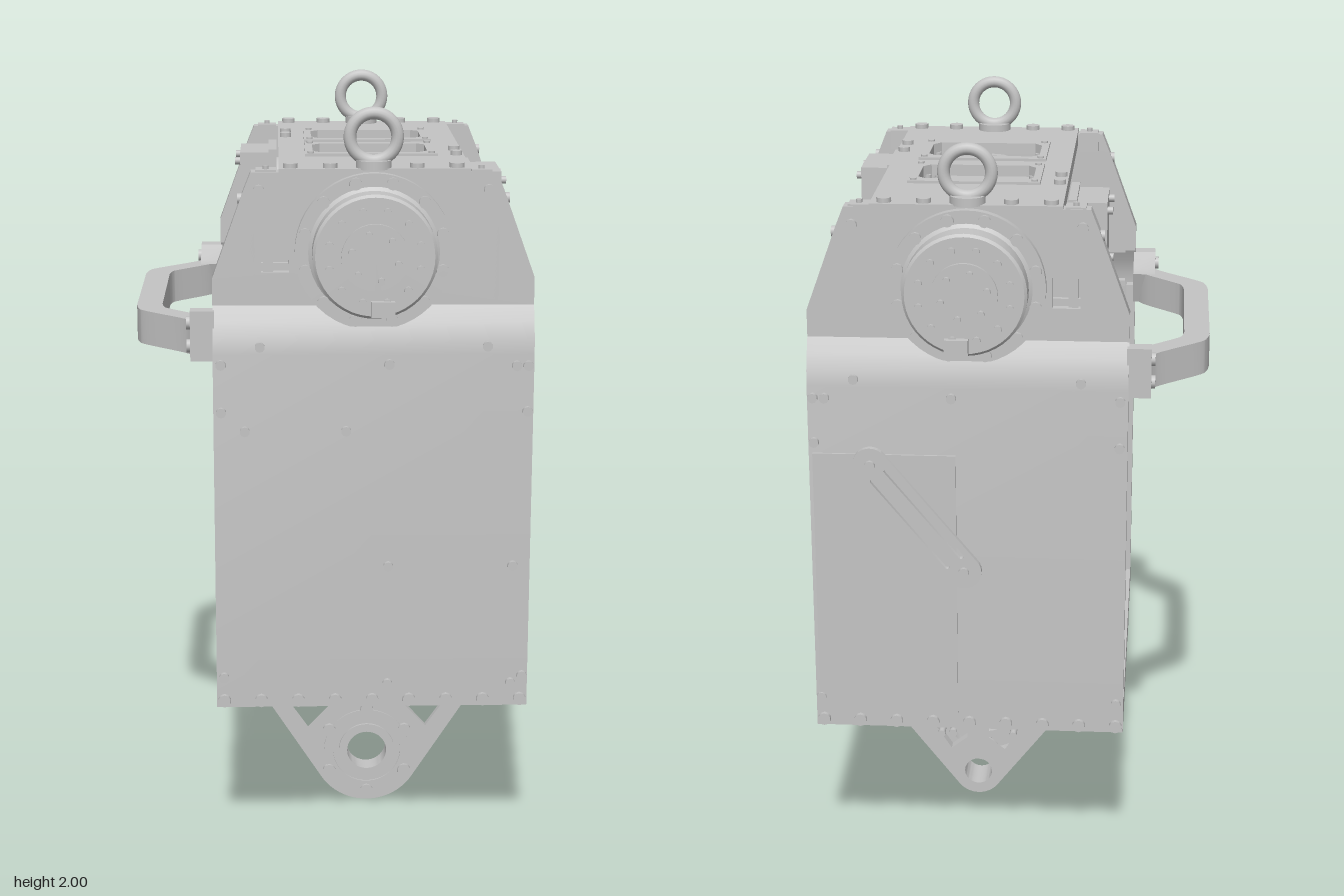
import * as THREE from 'three';
import { toCreasedNormals } from 'three/addons/utils/BufferGeometryUtils.js';

export function createModel() {
  const model = new THREE.Group();
  const grey = new THREE.MeshStandardMaterial({ color: 0xc4c4c4 });
  grey.name = 'grey metal';
  const CX = 0.1, HUB = 1.64;

  // ---- helpers ----
  const add = (name, geo) => {
    const m = new THREE.Mesh(geo, grey);
    m.name = name;
    model.add(m);
  };
  const box = (name, x0, x1, y0, y1, z0, z1) =>
    add(name, new THREE.BoxGeometry(x1 - x0, y1 - y0, z1 - z0).translate((x0 + x1) / 2, (y0 + y1) / 2, (z0 + z1) / 2));
  // cylinder from the given centre point along an axis, to a signed length
  const cyl = (name, axis, r, x, y, z, len, sides = 32) => {
    const g = new THREE.CylinderGeometry(r, r, Math.abs(len), sides).translate(0, len / 2, 0);
    if (axis === 'x') g.rotateZ(-Math.PI / 2);
    if (axis === 'z') g.rotateX(Math.PI / 2);
    add(name, g.translate(x, y, z));
  };
  const bolt = (axis, x, y, z, dir, r = 0.014) => cyl('bolt', axis, r, x, y, z, 0.014 * dir, 10);
  const poly = (pts) => new THREE.Shape(pts.map((p) => new THREE.Vector2(p[0], p[1])));
  const rect = (x0, x1, y0, y1) => poly([[x0, y0], [x1, y0], [x1, y1], [x0, y1]]);
  const disc = (x, y, r) => new THREE.Shape().absarc(x, y, r, 0, Math.PI * 2);
  const slot = (x0, y0, x1, y1, r) => {
    const a = Math.atan2(y1 - y0, x1 - x0), h = Math.PI / 2;
    return new THREE.Shape().absarc(x1, y1, r, a - h, a + h).absarc(x0, y0, r, a + h, a + 3 * h);
  };
  const solid = (shape, holes, depth) => {
    shape.holes = holes;
    return toCreasedNormals(new THREE.ExtrudeGeometry(shape, { depth, bevelEnabled: false, curveSegments: 20 }), 0.5);
  };
  const extZ = (name, shape, holes, z0, z1) => add(name, solid(shape, holes, z1 - z0).translate(0, 0, z0));
  // shape given as (x, -z)
  const extY = (name, shape, holes, y0, y1) =>
    add(name, solid(shape, holes, y1 - y0).rotateX(-Math.PI / 2).translate(0, y0, 0));
  // shape given as (-z, y)
  const extX = (name, shape, holes, x0, x1) =>
    add(name, solid(shape, holes, x1 - x0).rotateY(Math.PI / 2).translate(x0, 0, 0));
  const span = (s, a, b) => (s > 0 ? [a, b] : [-b, -a]);

  // ---- front and back end plates with everything mounted on them ----
  const upper = (i) => poly([[-0.31 + i, 1.5 - i * 0.01], [0.51 - i, 1.5 - i * 0.01], [0.51 - i, 1.57], [0.43 - i, 1.79],
    [0.41 - i, 1.84 - i], [-0.21 + i, 1.84 - i], [-0.23 + i, 1.79], [-0.31 + i, 1.57]]);
  for (const s of [1, -1]) {
    extX('endPlateLower', poly([[0.495, 0.43], [0.52, 0.43], [0.52, 1.38], [0.515, 1.42], [0.5, 1.46], [0.48, 1.5],
      [0.455, 1.5], [0.475, 1.46], [0.49, 1.42], [0.495, 1.38]].map(([z, y]) => [-z * s, y])), [], -0.31, 0.51);
    extZ('endPlateUpper', upper(0), [rect(-0.185, -0.115, 1.585, 1.665)], ...span(s, 0.455, 0.48));
    extZ('endPlateRim', upper(0), [upper(0.02)], ...span(s, 0.435, 0.456));
    // stiffening ribs inside
    for (const x of [-0.21, -0.06, 0.1, 0.26, 0.41]) box('innerRib', x - 0.008, x + 0.008, 1.22, x > 0.3 || x < -0.1 ? 1.7 : 1.5, ...span(s, 0.44, 0.48));
    for (const y of [1.28, 1.4, 1.5, 1.6, 1.7]) box('innerRib', y > 1.65 ? -0.24 : -0.28, y > 1.65 ? 0.44 : 0.48, y - 0.008, y + 0.008, ...span(s, 0.44, 0.47));
    for (const x of [-0.31, 0.485]) box('sideFlange', x, x + 0.025, 0.43, 1.39, ...span(s, 0.46, 0.5));
    box('windowPost', -0.18, -0.155, 1.58, 1.67, ...span(s, 0.42, 0.47));

    // rotary joint
    cyl('jointFlange', 'z', 0.2, CX, HUB, 0.478 * s, 0.026 * s, 48);
    add('jointBody', toCreasedNormals(new THREE.LatheGeometry([[0.185, 0], [0.185, 0.012], [0.157, 0.03], [0.157, 0.088], [0.15, 0.095], [0, 0.095]]
      .map(([r, y]) => new THREE.Vector2(r, y)), 48), 0.5).rotateX(s * Math.PI / 2).translate(CX, HUB, 0.48 * s));
    cyl('jointCap', 'z', 0.085, CX, HUB, 0.57 * s, 0.014 * s);
    cyl('jointMotor', 'z', 0.125, CX, HUB, 0.3 * s, 0.16 * s);
    cyl('jointMotorCollar', 'z', 0.14, CX, HUB, 0.41 * s, 0.05 * s);
    box('cableClip', 0.09, 0.15, 1.49, 1.53, ...span(s, 0.57, 0.595));
    for (let i = 0; i < 12; i++) {
      const a = (i + 0.5) * Math.PI / 6, c = Math.cos(a), d = Math.sin(a);
      bolt('z', CX + 0.18 * c, HUB + 0.18 * d, 0.5 * s, s, 0.016);
      bolt('z', CX + 0.118 * c, HUB + 0.118 * d, 0.57 * s, s, 0.01);
      if (i % 2) bolt('z', CX + 0.06 * c, HUB + 0.06 * d, 0.582 * s, s, 0.009);
    }

    // lifting eye
    add('liftingEye', new THREE.TorusGeometry(0.06, 0.016, 14, 40).translate(CX, 1.924, 0.45 * s));
    cyl('liftingEyeBase', 'y', 0.045, CX, 1.845, 0.45 * s, 0.022);

    // plate bolts
    const spots = [[-0.19, 1.4], [0.39, 1.4], [0.14, 1.355], [-0.29, 1.355], [0.465, 1.35], [0.495, 1.35], [0.495, 1.23], [-0.29, 1.23],
      [0.495, 0.51], [-0.29, 0.51]];
    if (s > 0) spots.push([-0.23, 1.18], [0.03, 1.18], [0.14, 0.815], [0.465, 0.815], [0.14, 0.49], [0.465, 0.49]);
    for (const [x, y] of spots) bolt('z', x, y, (y > 1.38 ? 0.512 : 0.518) * s, s, 0.013);
    for (let i = 0; i < 9; i++) bolt('z', -0.29 + i * 0.0975, 0.445, 0.518 * s, s, 0.017);
    for (const x of [-0.19, 0.39]) bolt('z', x, 1.795, 0.478 * s, s);
    for (const x of [-0.11, -0.01, 0.21, 0.31]) bolt('y', x, 1.846, 0.455 * s, 1, 0.019);
    for (const e of [-1, 1]) {
      const x = CX + 0.272 * e;
      box('cornerBlock', x - 0.026, x + 0.026, 1.79, 1.845, ...span(s, 0.425, 0.478));
      bolt('y', x, 1.84, 0.455 * s, 1, 0.008);
      bolt('x', CX + 0.33 * e, 1.77, 0.455 * s, e);
    }
  }

  // ---- access panel and slanted link on the back ----
  box('accessPanel', 0.13, 0.5, 0.47, 1.2, -0.526, -0.518);
  const groove = (d) => slot(0.325 + d, 1.145 - d * 0.8, 0.135 + d, 0.915 - d * 0.8, 0.007);
  extZ('backLink', slot(0.35, 1.175, 0.11, 0.885, 0.046), [groove(-0.018), groove(0.018)], -0.54, -0.524);
  bolt('z', 0.35, 1.175, -0.536, -1);
  bolt('z', 0.11, 0.885, -0.536, -1);

  // ---- top deck with two framed openings and stacked plates below them ----
  const windows = [0.03, -0.25];
  const opening = (z) => poly([[-0.05, -z - 0.05], [-0.03, -z - 0.03], [0.23, -z - 0.03], [0.25, -z - 0.05],
    [0.25, -z - 0.17], [0.23, -z - 0.195], [-0.03, -z - 0.195], [-0.05, -z - 0.17]]);
  extY('topDeck', rect(-0.14, 0.345, -0.48, 0.48), windows.map(opening), 1.825, 1.848);
  for (const z of windows) {
    extY('deckFrame', rect(-0.07, 0.275, -z - 0.225, -z), [opening(z)], 1.846, 1.855);
    for (const x of [-0.055, 0.26]) for (const d of [0.015, 0.21]) bolt('y', x, 1.846, z + d, 1, 0.009);
    for (const y of [1.71, 1.745, 1.78]) box('stackPlate', -0.055, 0.255, y, y + 0.012, z + 0.025, z + 0.2);
    for (const x of [-0.04, 0.24]) for (const d of [0.04, 0.185]) cyl('stackPost', 'y', 0.01, x, 1.7, z + d, 0.13, 10);
  }
  for (const x of [-0.14, 0.33]) box('deckEdge', x, x + 0.015, 1.81, 1.83, -0.45, 0.45);

  // ---- drive units under the deck ----
  box('rightDrive', 0.365, 0.44, 1.6, 1.81, 0.095, 0.275);
  box('rightDrivePlate', 0.345, 0.367, 1.59, 1.82, 0.085, 0.285);
  box('leftDrive', -0.245, -0.165, 1.6, 1.81, -0.28, -0.1);
  box('leftDrivePlate', -0.167, -0.145, 1.59, 1.82, -0.29, -0.085);
  for (const s of [1, -1]) {
    const x = s > 0 ? 0.44 : -0.245;
    cyl('driveMotor', 'x', 0.095, s > 0 ? 0.345 : -0.145, 1.69, 0.185 * s, -0.08 * s);
    for (const y of [1.625, 1.785]) for (const z of [0.115, 0.255]) bolt('x', x, y, z * s, s, 0.01);
    for (const z of [0.14, 0.23]) bolt('y', s > 0 ? 0.325 : -0.12, 1.846, z * s, 1, 0.016);
  }

  // ---- body: battery boxes, shelf, side panel, floor ----
  extZ('lowerBox', poly([[-0.245, 0.47], [0.47, 0.47], [0.47, 1.17], [-0.14, 1.17], [-0.245, 1.08]]), [], -0.43, 0.4);
  box('rightPanel', 0.465, 0.49, 0.49, 1.18, -0.48, 0.485);
  box('upperBox', -0.1, 0.45, 1.2, 1.42, -0.26, 0.44);
  const shelfSlots = [];
  for (let i = 0; i < 4; i++) shelfSlots.push(slot(0.29 + i * 0.045, 0.31, 0.29 + i * 0.045, 0.43, 0.014));
  extY('shelf', rect(-0.14, 0.48, -0.48, 0.48), shelfSlots, 1.175, 1.195);
  bolt('y', 0.48, 1.195, -0.26, 1, 0.02);
  for (const x of [-0.31, 0.47]) box('bottomRail', x, x + (x > 0 ? 0.035 : 0.012), 0.43, 0.49, -0.5, 0.5);

  const floorSlots = [];
  for (let i = 0; i < 9; i++) {
    const z = -0.4 + i * 0.1;
    floorSlots.push(slot(-0.275, z, -0.2, z + 0.06, 0.016), slot(0.4, z + 0.05, 0.47, z, 0.016));
    if (i > 1 && i < 7) floorSlots.push(slot(-0.09, z, 0.0, z + 0.04, 0.018), slot(0.2, z + 0.04, 0.29, z, 0.018));
  }
  for (const x of [-0.2, 0.03, 0.26]) floorSlots.push(rect(x, x + 0.14, -0.485, -0.455));
  extY('floor', rect(-0.31, 0.51, -0.52, 0.52), floorSlots, 0.425, 0.447);

  // ---- side handle, its outline mirrored front to back ----
  const smooth = (pts) => new THREE.SplineCurve(pts.map((p) => new THREE.Vector2(...p))).getPoints(24).map((p) => [p.x, p.y]);
  const outer = smooth([[-0.365, 0.43], [-0.39, 0.395], [-0.49, 0.3], [-0.51, 0.265], [-0.517, 0.22]]);
  const inner = smooth([[-0.45, 0.21], [-0.443, 0.25], [-0.425, 0.275], [-0.345, 0.355], [-0.315, 0.4]]);
  const half = [[-0.315, 0.505], [-0.365, 0.505], ...outer];
  const flip = (pts) => pts.map(([x, z]) => [x, -z]).reverse();
  extY('handle', poly([...half, ...flip(half), ...flip(inner), ...inner]), [], 1.36, 1.45);
  for (const s of [1, -1]) {
    extX('handleMount', poly([[0.505, 1.36], [0.39, 1.36], [0.36, 1.45], [0.4, 1.455], [0.46, 1.49], [0.505, 1.49]].map(([z, y]) => [-z * s, y])), [], -0.367, -0.305);
    for (const y of [1.395, 1.455]) bolt('x', -0.363, y, 0.475 * s, -1, 0.017);
  }

  // ---- feet: triangular hanging brackets ----
  const CY = 0.155;
  const foot = (r, w) => new THREE.Shape().moveTo(CX - w, 0.38).lineTo(CX + w, 0.38).lineTo(CX + w, 0.3)
    .absarc(CX, CY, r, -0.62, -Math.PI + 0.62, true).lineTo(CX - w, 0.3);
  const tri = (e) => poly([[CX + e * 0.235, 0.325], [CX + e * 0.075, 0.325], [CX + e * 0.1, 0.295], [CX + e * 0.165, 0.225]]);
  extZ('frontFoot', foot(0.152, 0.275), [disc(CX, CY, 0.055), tri(1), tri(-1)], 0.148, 0.168);
  extZ('frontFootRim', disc(CX, CY, 0.152), [disc(CX, CY, 0.125)], 0.115, 0.15);
  extZ('frontFootHub', disc(CX, CY, 0.078), [disc(CX, CY, 0.055)], 0.115, 0.175);
  extZ('frontFootRing', disc(CX, CY, 0.12), [disc(CX, CY, 0.095)], 0.165, 0.172);
  for (let i = 0; i < 6; i++) {
    const a = Math.PI / 6 + i * Math.PI / 3, x = CX + 0.122 * Math.cos(a), y = CY + 0.122 * Math.sin(a);
    bolt('z', x, y, 0.165, 1, 0.018);
    bolt('z', x, y, 0.118, -1, 0.012);
    add('frontFootSpoke', new THREE.BoxGeometry(0.06, 0.014, 0.03).translate(0.1, 0, 0).rotateZ(a).translate(CX, CY, 0.135));
  }
  extX('frontFootFlange', poly([[-0.148, 0.36], [-0.168, 0.36], [-0.19, 0.385], [-0.3, 0.395], [-0.3, 0.425], [-0.148, 0.425]]), [], -0.175, 0.375);
  extY('frontCrossBar', slot(-0.27, -0.23, 0.47, -0.23, 0.04), [], 0.375, 0.426);
  for (const x of [-0.13, -0.02, 0.1, 0.22, 0.33]) cyl('footBolt', 'z', 0.018, x, 0.395, 0.28, 0.055, 12);

  const backTri = (e) => poly([[CX + e * 0.15, 0.34], [CX + e * 0.03, 0.34], [CX + e * 0.03, 0.26], [CX + e * 0.075, 0.225]]);
  extZ('backFoot', foot(0.068, 0.2), [disc(CX, CY, 0.038), backTri(1), backTri(-1)], -0.245, -0.215);
  extZ('backFootSleeve', disc(CX, CY, 0.058), [disc(CX, CY, 0.038)], -0.22, -0.14);
  box('backFootFlange', -0.1, 0.3, 0.375, 0.426, -0.305, -0.215);
  for (const e of [-1, 1]) cyl('backFootPin', 'z', 0.01, CX + e * 0.1, 0.285, -0.28, 0.135, 12);
  for (const x of [-0.06, 0.1, 0.26]) bolt('y', x, 0.376, -0.28, -1);

  return model;
}
